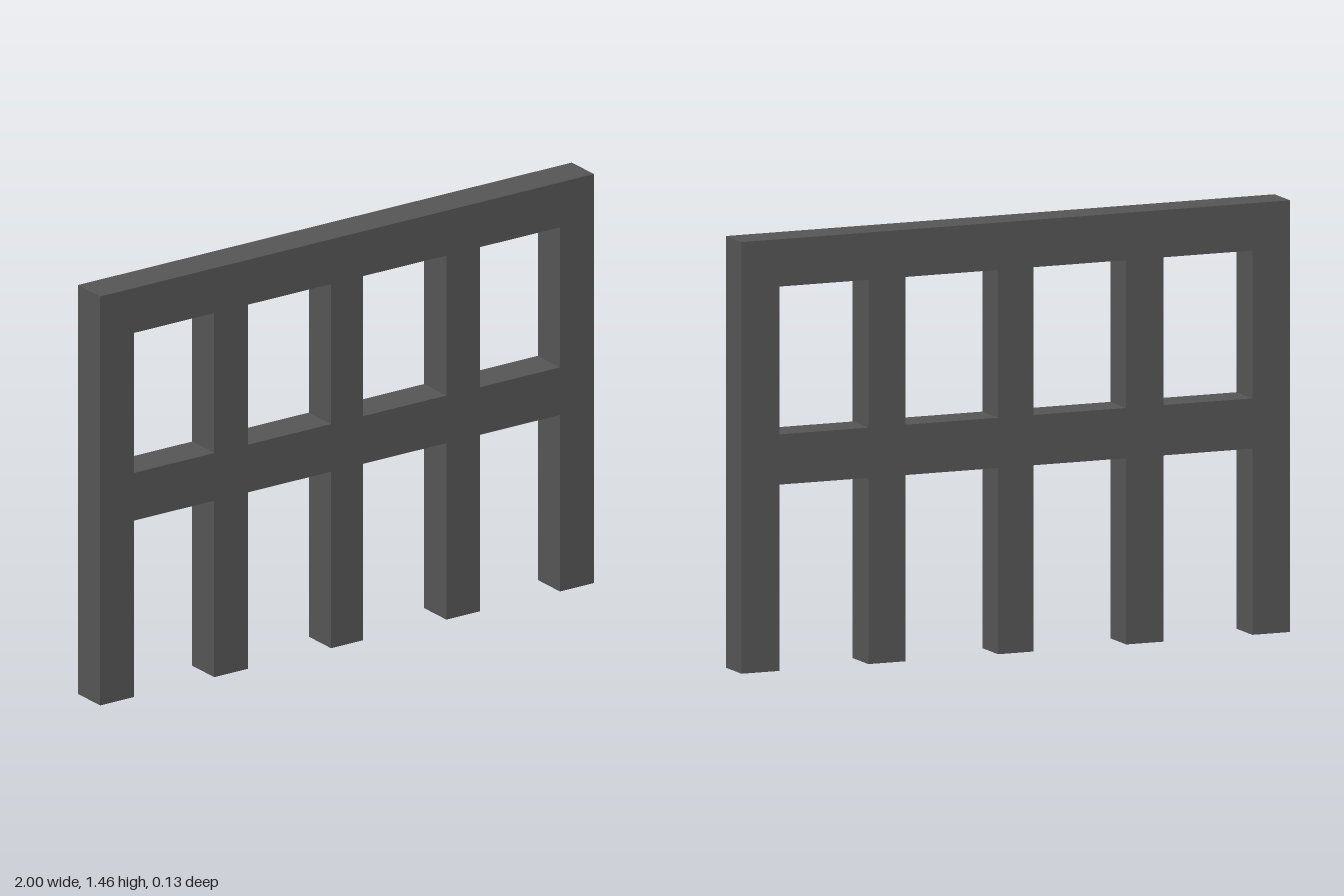
import * as THREE from 'three';

const HEIGHT = 1.46, DEPTH = 0.13;
const RAIL_BOTTOM = 0.63, RAIL_TOP = 0.80, BEAM_BOTTOM = 1.30;
// Left and right edges of the four bays between the five posts
const BAYS = [[-0.862, -0.538], [-0.402, -0.065], [0.065, 0.402], [0.538, 0.862]];

export function createModel() {
  const group = new THREE.Group();
  group.name = 'postFrame';

  // Outline: the lower bays are open at the ground
  const outline = new THREE.Shape();
  outline.moveTo(-1, 0);
  for (const [a, b] of BAYS) {
    outline.lineTo(a, 0);
    outline.lineTo(a, RAIL_BOTTOM);
    outline.lineTo(b, RAIL_BOTTOM);
    outline.lineTo(b, 0);
  }
  outline.lineTo(1, 0);
  outline.lineTo(1, HEIGHT);
  outline.lineTo(-1, HEIGHT);
  outline.closePath();

  // Upper bays: closed windows between the middle rail and the top beam
  for (const [a, b] of BAYS) {
    const hole = new THREE.Path();
    hole.moveTo(a, RAIL_TOP);
    hole.lineTo(a, BEAM_BOTTOM);
    hole.lineTo(b, BEAM_BOTTOM);
    hole.lineTo(b, RAIL_TOP);
    hole.closePath();
    outline.holes.push(hole);
  }

  const geometry = new THREE.ExtrudeGeometry(outline, { depth: DEPTH, bevelEnabled: false });
  geometry.translate(0, 0, -DEPTH / 2);

  const frame = new THREE.Mesh(geometry, new THREE.MeshStandardMaterial({ color: 0x555555 }));
  frame.name = 'frame';
  group.add(frame);
  return group;
}
